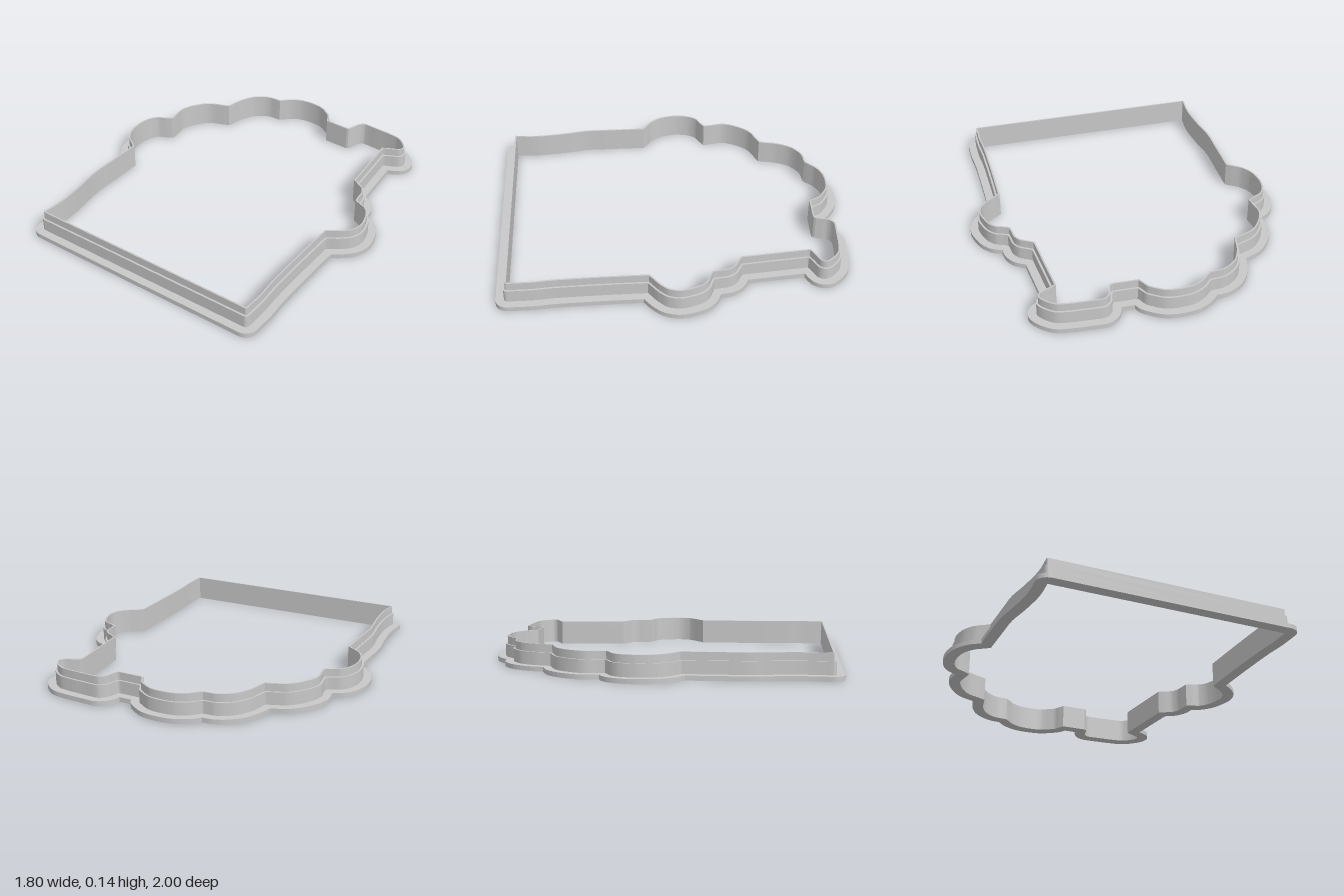
import * as THREE from 'three';

// Outline as seen from above (x, -z), clockwise, one run per lobe; runs meet at sharp notches
const R = 0.069; // bottom corner radius
const runs = [
  // left side
  [[-.738, -.931], [-.728, -.80], [-.743, -.636], [-.765, -.493], [-.766, -.344], [-.765, -.159]],
  // left lobes, bottom to top
  [[-.765, -.159], [-.828, -.111], [-.881, -.026], [-.901, .09], [-.881, .196], [-.833, .265], [-.775, .297]],
  [[-.775, .297], [-.786, .382], [-.765, .461], [-.712, .546], [-.648, .604], [-.558, .641]],
  [[-.558, .641], [-.537, .726], [-.489, .816], [-.421, .874], [-.357, .901], [-.299, .906]],
  // top lobe and notch
  [[-.299, .906], [-.246, .954], [-.167, .991], [-.071, 1], [.019, .986], [.093, .943], [.13, .911], [.151, .874]],
  [[.151, .874], [.225, .872]],
  // hooked tip
  [[.225, .872], [.238, .915], [.272, .956], [.325, .98], [.426, .976], [.516, .97], [.6, .954], [.668, .906],
    [.712, .843], [.712, .784], [.68, .737], [.618, .705]],
  // neck and right lobes
  [[.618, .705], [.632, .556], [.648, .387]],
  [[.648, .387], [.706, .35], [.743, .291], [.754, .223]],
  [[.754, .223], [.812, .196], [.867, .127], [.9, .005], [.878, -.09], [.823, -.154], [.765, -.196]],
  // right side
  [[.765, -.196], [.765, -.397], [.77, -.662], [.78, -.795], [.78, -.931]],
];

// Points with inward normals along the whole outline
function sampleOutline() {
  const out = [];
  for (const run of runs) {
    const curve = new THREE.SplineCurve(run.map(p => new THREE.Vector2(...p)));
    const n = (run.length - 1) * 5;
    for (let i = 0; i <= n; i++) {
      const t = curve.getTangent(i / n);
      out.push({ p: curve.getPoint(i / n), a: Math.atan2(-t.x, t.y) });
    }
  }
  // rounded bottom corners
  for (const [cx, start] of [[.711, 0], [-.669, -Math.PI / 2]]) {
    for (let i = 0; i <= 8; i++) {
      const a = start - i / 8 * Math.PI / 2;
      out.push({ p: new THREE.Vector2(cx + R * Math.cos(a), -.931 + R * Math.sin(a)), a: a + Math.PI });
    }
  }
  return out;
}

// Move the outline inwards by d, with a blunted mitre about each notch
function inset(samples, d) {
  const pts = [];
  const add = (p, a, reach) => {
    const q = new THREE.Vector2(p.x + reach * Math.cos(a), p.y + reach * Math.sin(a));
    if (!pts.length || pts[pts.length - 1].distanceTo(q) > 0.002) pts.push(q);
  };
  samples.forEach((s, i) => {
    add(s.p, s.a, d);
    const next = samples[(i + 1) % samples.length];
    if (s.p.distanceTo(next.p) > 1e-4) return;
    const turn = Math.atan2(Math.sin(next.a - s.a), Math.cos(next.a - s.a));
    for (let k = 1; k < 8; k++) {
      const off = Math.abs(turn) * Math.min(k, 8 - k) / 8;
      add(s.p, s.a + turn * k / 8, d * Math.min(1 / Math.cos(off), 1.18));
    }
  });
  if (pts[0].distanceTo(pts[pts.length - 1]) < 0.002) pts.pop();
  return pts;
}

export function createModel() {
  const group = new THREE.Group();
  group.name = 'cookieCutter';
  const grey = new THREE.MeshStandardMaterial({ color: 0xc8c8c8 });
  grey.name = 'grey';

  const samples = sampleOutline();
  // the hole runs counter to the outline so its wall faces inwards
  const inner = inset(samples, 0.067).reverse();

  // Stacked rings that share one inner wall: name, inset, bottom, top
  const tiers = [
    ['baseFlange', 0, 0, 0.027],
    ['lowerWall', 0.047, 0.027, 0.1],
    ['cuttingEdge', 0.058, 0.1, 0.145],
  ];
  for (const [name, d, y0, y1] of tiers) {
    const shape = new THREE.Shape(inset(samples, d));
    shape.holes.push(new THREE.Path(inner));
    const geo = new THREE.ExtrudeGeometry(shape, { depth: y1 - y0, bevelEnabled: false });
    geo.rotateX(-Math.PI / 2);
    const mesh = new THREE.Mesh(geo, grey);
    mesh.name = name;
    mesh.position.y = y0;
    group.add(mesh);
  }
  return group;
}
